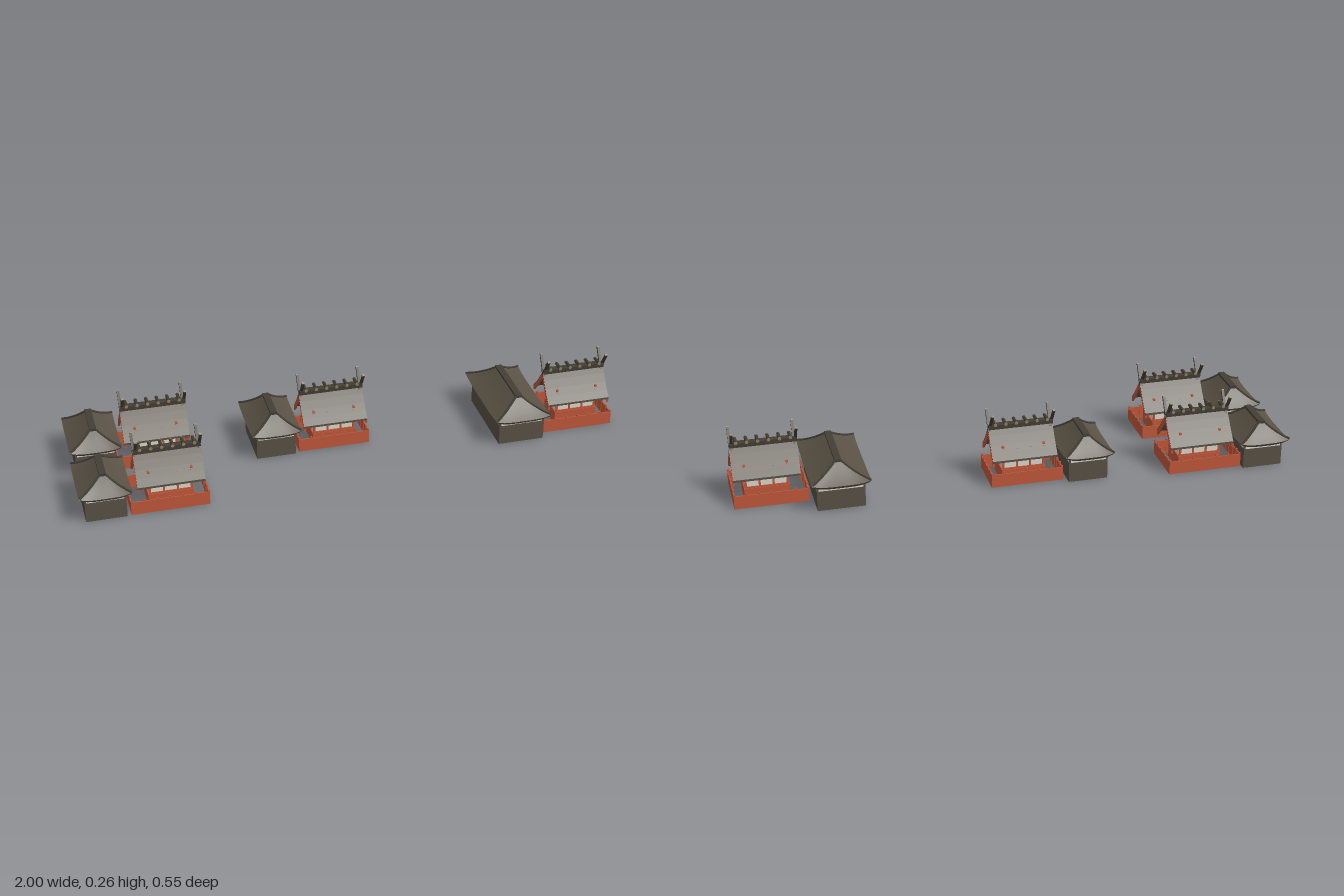
import * as THREE from 'three';
import { toCreasedNormals } from 'three/addons/utils/BufferGeometryUtils.js';

const mat = (name, color, side = THREE.FrontSide) => {
  const m = new THREE.MeshStandardMaterial({ color, side });
  m.name = name;
  return m;
};

export function createModel() {
  const bark = mat('barkRoof', 0x5a5245);
  const timber = mat('darkTimber', 0x585045);
  const ridgeWood = mat('ridgeWood', 0x433e35);
  const red = mat('vermilion', 0xc1583b);
  const plaster = mat('plaster', 0xdcd8cc);
  const tan = mat('tanCaps', 0x94805a);

  const add = (parent, name, geo, m, x = 0, y = 0, z = 0) => {
    const mesh = new THREE.Mesh(geo, m);
    mesh.name = name;
    mesh.position.set(x, y, z);
    parent.add(mesh);
    return mesh;
  };
  const box = (parent, name, m, w, h, d, x, y, z) =>
    add(parent, name, new THREE.BoxGeometry(w, h, d), m, x, y, z);

  // Extrudes a (z, y) outline along x, centred on x = 0
  const extrudeX = (pts, length) => {
    const shape = new THREE.Shape(pts.map(p => new THREE.Vector2(p[0], p[1])));
    const g = new THREE.ExtrudeGeometry(shape, { depth: length, bevelEnabled: false });
    g.translate(0, 0, -length / 2);
    return g.rotateY(Math.PI / 2);
  };

  // Gently concave gable line
  const HALF = 0.08;
  const slope = z => {
    const u = Math.abs(z) / HALF;
    return 0.2 - 0.1 * (1.2 * u - 0.2 * u * u);
  };
  const chevron = (top, bottom, half) => {
    const up = [], down = [];
    for (let i = 0; i <= 8; i++) {
      const z = -half + (2 * half * i) / 8;
      up.push([z, slope(z) - top]);
      down.push([z, slope(z) - bottom]);
    }
    return [...down, ...up.reverse()];
  };

  // Thin fence around the sanctuary, open on the ground
  function fence(parent, x0, x1, half) {
    const w = x1 - x0, cx = (x0 + x1) / 2, t = 0.004;
    for (const s of [-1, 1]) {
      box(parent, 'fenceSide', red, w, 0.049, t, cx, 0.0245, s * (half - t / 2));
      box(parent, 'fenceEnd', red, t, 0.049, 2 * half, cx + s * (w / 2 - t / 2), 0.0245, 0);
      for (let i = 0; i <= 6; i++)
        box(parent, 'fencePost', red, 0.006, 0.055, 0.006, x0 + 0.003 + (w - 0.006) * i / 6, 0.0275, s * (half - 0.003));
      for (let i = 1; i < 5; i++)
        box(parent, 'fenceEndPost', red, 0.006, 0.055, 0.006, cx + s * (w / 2 - 0.003), 0.0275, -half + 2 * half * i / 5);
    }
  }

  // Gabled sanctuary with forked finials and ridge billets
  function sanctuary(cx, z, x0, x1, half) {
    const g = new THREE.Group();
    g.name = 'sanctuary';
    g.position.set(cx, 0, z);
    fence(g, x0 - cx, x1 - cx, half);
    const L = 0.15, D = 0.1, R = 0.236;
    box(g, 'plinth', red, L + 0.01, 0.05, D + 0.01, 0, 0.025, 0);
    add(g, 'walls', extrudeX([[-0.05, 0.05], [0.05, 0.05], [0.05, 0.128], [0, 0.188], [-0.05, 0.128]], L), plaster);
    for (const s of [-1, 1]) {
      for (let i = 0; i < 4; i++)
        box(g, 'wallPost', red, 0.007, 0.08, 0.006, -L / 2 + 0.002 + (L - 0.004) * i / 3, 0.09, s * D / 2);
      box(g, 'wallPlate', red, L + 0.02, 0.008, 0.008, 0, 0.103, s * D / 2);
      box(g, 'sill', red, L + 0.004, 0.006, 0.006, 0, 0.053, s * D / 2);
      // Gable framing
      const e = s * L / 2;
      box(g, 'gablePost', red, 0.007, 0.14, 0.008, e, 0.12, 0);
      box(g, 'tieBeam', red, 0.008, 0.007, 0.106, e, 0.138, 0);
      add(g, 'gableRafter', extrudeX(chevron(0.008, 0.024, 0.056), 0.006), red, e);
      // Bargeboards
      add(g, 'bargeboard', extrudeX(chevron(0.004, 0.022, HALF - 0.001), 0.007), red, s * (R / 2 - 0.003));
      // Forked finials
      for (const k of [-1, 1]) {
        const f = new THREE.Group();
        f.name = 'forkedFinial';
        f.position.set(s * (R / 2 - 0.006) + k * 0.003, 0.2, 0);
        f.rotation.x = k * Math.atan2(0.034, 0.055);
        box(f, 'finialArm', ridgeWood, 0.009, 0.083, 0.008, 0, 0.0225, 0);
        box(f, 'finialTip', tan, 0.0092, 0.003, 0.0082, 0, 0.0645, 0);
        g.add(f);
      }
    }
    add(g, 'gableRoof', extrudeX(chevron(0, 0.008, HALF), R), bark);
    box(g, 'ridgeBeam', ridgeWood, R, 0.016, 0.024, 0, 0.2, 0);
    // Ridge billets
    for (let i = 0; i < 6; i++) {
      const x = -0.095 + 0.038 * i;
      const b = add(g, 'ridgeBillet', new THREE.CylinderGeometry(0.006, 0.006, 0.042, 8), ridgeWood, x, 0.214, 0);
      b.rotation.x = Math.PI / 2;
      for (const s of [-1, 1]) {
        const c = add(g, 'billetCap', new THREE.CylinderGeometry(0.0062, 0.0062, 0.003, 8), tan, x, 0.214, s * 0.0215);
        c.rotation.x = Math.PI / 2;
      }
    }
    return g;
  }

  // Hipped roof lofted from rectangular loops, corners swept up at the eaves
  const N = 8, STEPS = 6;
  const roofLevel = (t, hx, hz, inset) => ({
    x: hx + (0.009 - hx) * t,
    z: hz - inset * t,
    y: 0.1 + 0.062 * (0.75 * t + 0.25 * t * t),
    lift: 0.01 * (1 - t) ** 2,
  });
  function hipRoofGeometry(hx, hz, inset) {
    const under = roofLevel(0, hx, hz, inset);
    under.x -= 0.008; under.z -= 0.008; under.y -= 0.011;
    const levels = [{ ...under, x: 0.01, z: 0.01, lift: 0 }, under];
    for (let i = 0; i <= STEPS; i++) levels.push(roofLevel(i / STEPS, hx, hz, inset));
    const corners = [[1, 1], [1, -1], [-1, -1], [-1, 1]];
    const pos = [], idx = [], M = 4 * N;
    for (const l of levels)
      for (let c = 0; c < 4; c++)
        for (let i = 0; i < N; i++) {
          const a = corners[c], b = corners[(c + 1) % 4], u = i / N;
          const sweep = Math.abs(2 * u - 1) ** 4;
          pos.push((a[0] + (b[0] - a[0]) * u) * l.x, l.y + l.lift * sweep, (a[1] + (b[1] - a[1]) * u) * l.z);
        }
    for (let r = 0; r < levels.length - 1; r++)
      for (let i = 0; i < M; i++) {
        const j = (i + 1) % M, a = r * M + i, b = r * M + j;
        idx.push(a, b, b + M, a, b + M, a + M);
      }
    const g = new THREE.BufferGeometry();
    g.setAttribute('position', new THREE.Float32BufferAttribute(pos, 3));
    g.setIndex(idx);
    return toCreasedNormals(g, 0.5);
  }

  // Dark worship hall with a hipped roof
  function hall(x0, x1, z0, z1, inset) {
    const g = new THREE.Group();
    g.name = 'hall';
    g.position.set((x0 + x1) / 2, 0, (z0 + z1) / 2);
    const hx = (x1 - x0) / 2, hz = (z1 - z0) / 2;
    const w = 2 * (hx - 0.02), d = 2 * (hz - 0.026);
    box(g, 'hallWall', timber, w, 0.074, d, 0, 0.037, 0);
    box(g, 'plasterBand', plaster, w - 0.004, 0.022, d - 0.004, 0, 0.085, 0);
    for (const s of [-1, 1]) for (const k of [-1, 1])
      box(g, 'cornerPost', timber, 0.006, 0.094, 0.006, s * (w / 2 - 0.003), 0.047, k * (d / 2 - 0.003));
    add(g, 'hipRoof', hipRoofGeometry(hx, hz, inset), bark);
    box(g, 'hallRidge', ridgeWood, 0.024, 0.012, 2 * (hz - inset) + 0.006, 0, 0.162, 0);
    // Hip ridges
    for (const s of [-1, 1]) for (const k of [-1, 1]) {
      const pts = [];
      for (let i = 0; i <= STEPS; i++) {
        const l = roofLevel(i / STEPS, hx - 0.002, hz - 0.002, inset);
        pts.push(new THREE.Vector3(s * l.x, l.y + l.lift + 0.001, k * l.z));
      }
      add(g, 'hipRidge', new THREE.TubeGeometry(new THREE.CatmullRomCurve3(pts), 10, 0.0045, 5), ridgeWood);
    }
    return g;
  }

  const model = new THREE.Group();
  model.name = 'shrineCompound';
  const shrines = [
    { s: [-0.674, -0.141, -0.82, -0.55, 0.088], h: [-0.99, -0.805, -0.272, -0.025, 0.056] },
    { s: [-0.674, 0.156, -0.82, -0.545, 0.088], h: [-0.997, -0.814, 0.035, 0.273, 0.056] },
    { s: [-0.03, -0.088, -0.168, 0.094, 0.083], h: [-0.346, -0.163, -0.222, 0.03, 0.058] },
    { s: [0.876, -0.006, 0.735, 0.998, 0.102], h: [0.53, 0.74, -0.216, 0.156, 0.072] },
  ];
  for (const { s, h } of shrines) {
    const shrine = new THREE.Group();
    shrine.name = 'shrine';
    shrine.add(sanctuary(...s), hall(...h));
    model.add(shrine);
  }
  return model;
}
